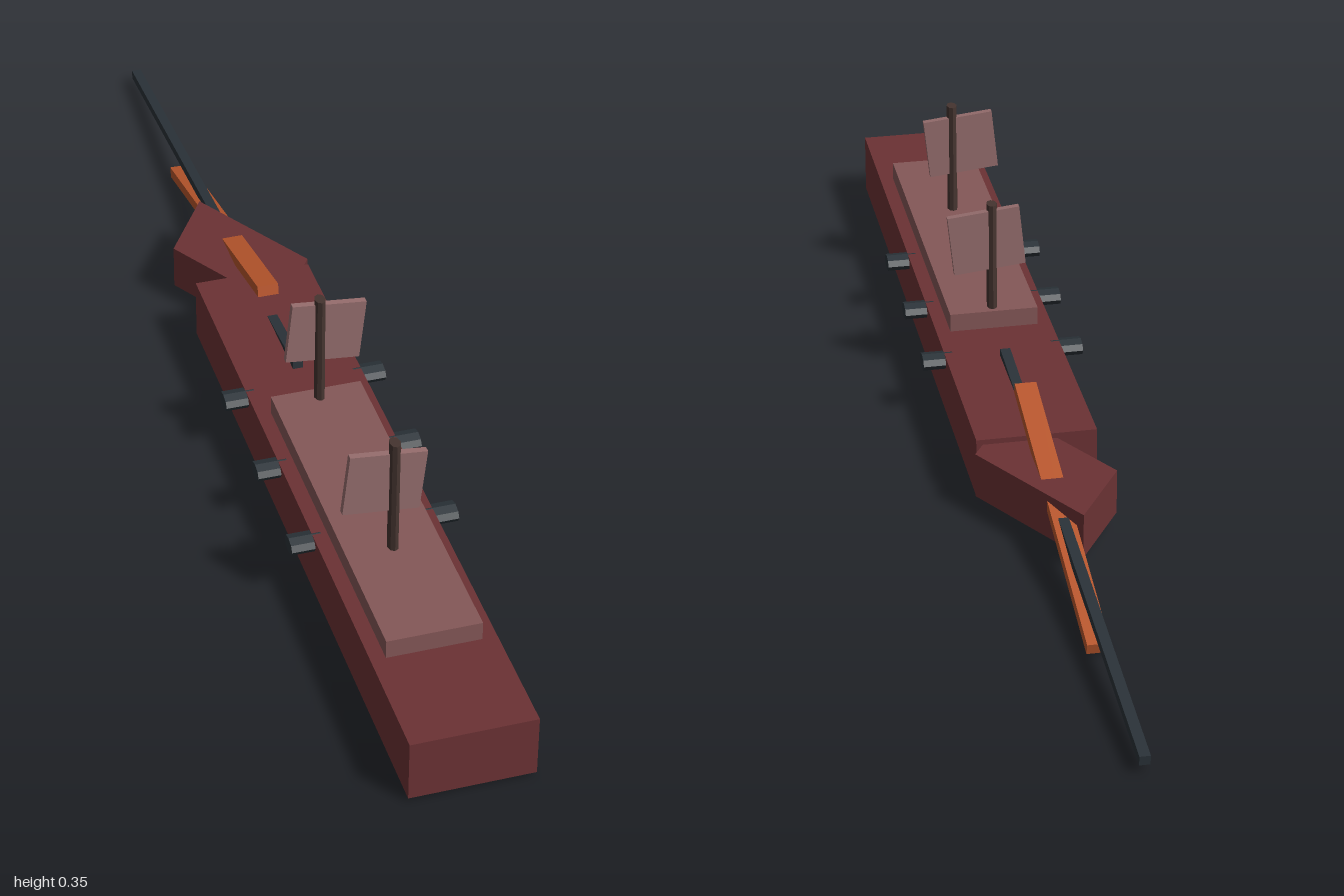
import * as THREE from 'three';

const mat = (color) => new THREE.MeshStandardMaterial({ color, flatShading: true });

export function createModel() {
  const ship = new THREE.Group();
  const hullMat = mat(0x6b3234);
  const deckMat = mat(0x845757);
  const sailMat = mat(0x946c6c);
  const mastMat = mat(0x45342f);
  const ironMat = mat(0x2a3238);
  const orangeMat = mat(0xb8562c);

  const add = (name, geometry, material, x, y, z) => {
    const mesh = new THREE.Mesh(geometry, material);
    mesh.name = name;
    mesh.position.set(x, y, z);
    ship.add(mesh);
    return mesh;
  };
  const box = (name, w, h, d, material, x, y, z) =>
    add(name, new THREE.BoxGeometry(w, h, d), material, x, y, z);

  // Hull and raised deck
  box('hull', 0.2, 0.106, 1.19, hullMat, 0, 0.06, 0.405);
  box('upperDeck', 0.152, 0.04, 0.62, deckMat, 0, 0.125, 0.5);

  // Skewed block at the end of the hull (shape y becomes -z)
  const outline = [[-0.026, 0.174], [-0.107, 0.047], [0.026, -0.174], [0.107, -0.047]];
  const bow = new THREE.ExtrudeGeometry(
    new THREE.Shape(outline.map(([x, y]) => new THREE.Vector2(x, y))),
    { depth: 0.078, bevelEnabled: false });
  bow.rotateX(-Math.PI / 2);
  add('bowBlock', bow, hullMat, 0, 0.026, -0.265);

  // Tilted spars passing through the bow
  box('ramBeam', 0.036, 0.019, 0.602, orangeMat, 0, 0.079, -0.383).rotation.x = -0.23;
  box('bowsprit', 0.017, 0.016, 1.09, ironMat, 0, 0.071, -0.455).rotation.x = -0.087;

  // Masts, each with a tilted sail
  for (const [z, top, sailX] of [[0.602, 0.348, -0.015], [0.21, 0.34, 0.01]]) {
    const height = top - 0.13;
    const mast = add('mast', new THREE.CylinderGeometry(1, 1, height, 8), mastMat, 0, 0.13 + height / 2, z);
    mast.scale.set(0.009, 1, 0.013);
    box('sail', 0.124, 0.108, 0.011, sailMat, sailX, 0.274, z - 0.003).rotation.z = -0.105;
  }

  // Three guns along each side, oval in section
  for (const side of [-1, 1]) {
    for (const z of [0.5, 0.31, 0.12]) {
      const barrel = new THREE.CylinderGeometry(1, 1, 0.052, 8);
      barrel.rotateZ(Math.PI / 2);
      add('gun', barrel, ironMat, side * 0.112, 0.1, z - side * 0.004).scale.set(1, 0.0135, 0.021);
    }
  }
  return ship;
}
